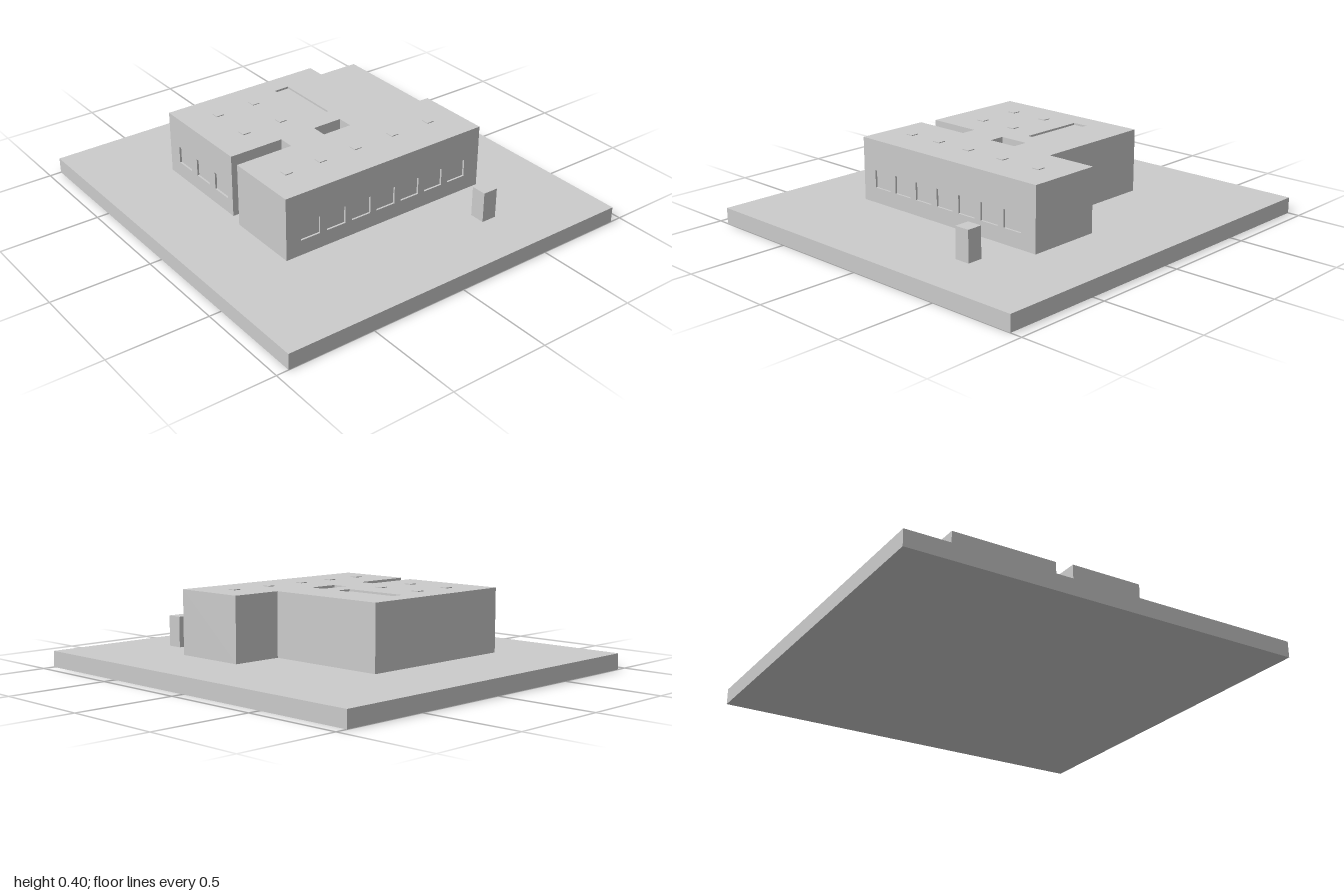
import * as THREE from 'three';

const material = new THREE.MeshStandardMaterial({ color: 0xcccccc });
const GROUND = 0.08, ROOF = 0.397, DEPTH = 0.01; // DEPTH: window and skylight recess

const shapeOf = (pts) => new THREE.Shape(pts.map(([x, y]) => new THREE.Vector2(x, y)));
const rect = (x0, y0, x1, y1) => [[x0, y0], [x1, y0], [x1, y1], [x0, y1]];

function extrude(outline, holes, depth) {
  const shape = shapeOf(outline);
  shape.holes = holes.map((h) => shapeOf(h));
  return new THREE.ExtrudeGeometry(shape, { depth, bevelEnabled: false });
}

export function createModel() {
  const group = new THREE.Group();
  const add = (name, geometry) => {
    const mesh = new THREE.Mesh(geometry, material);
    mesh.name = name;
    group.add(mesh);
    return mesh;
  };
  const box = (name, x0, x1, y0, y1, z0, z1) =>
    add(name, new THREE.BoxGeometry(x1 - x0, y1 - y0, z1 - z0))
      .position.set((x0 + x1) / 2, (y0 + y1) / 2, (z0 + z1) / 2);

  // Floor plan in (x, z); the front and left-hand walls can be set back
  const plan = (inset) => [
    [-0.56, 0.45 - inset], [0.57, 0.45 - inset], [0.57, 0.07], [0.31, 0.07],
    [0.31, -0.56], [-0.54 + inset, -0.56], [-0.54 + inset, -0.01],
    [-0.26, -0.01], [-0.26, 0.07], [-0.56, 0.07],
  ];
  const courtyard = rect(-0.07, -0.01, 0.085, 0.07);
  const skylight = rect(0.01, -0.45, 0.09, -0.11);

  // Plan y becomes z, extrusion runs downwards from the top
  const storey = (name, outline, holes, top, bottom) => {
    const mesh = add(name, extrude(outline, holes, top - bottom).rotateX(Math.PI / 2));
    mesh.position.y = top;
  };

  // Ground slab
  box('groundSlab', -0.94, 0.94, 0, GROUND, -1, 1);

  // Building core and roof slab with its sunken skylight
  storey('buildingCore', plan(DEPTH), [courtyard], ROOF - DEPTH, GROUND);
  storey('roofSlab', plan(0), [courtyard, skylight], ROOF, ROOF - DEPTH);

  // Front facade with seven windows
  const wallTop = ROOF - DEPTH, sill = 0.157, lintel = 0.245;
  const frontWindows = Array.from({ length: 7 }, (_, i) => {
    const x = -0.48 + i * 0.143;
    return rect(x, sill, x + 0.105, lintel);
  });
  add('frontFacade', extrude(rect(-0.56, GROUND, 0.57, wallTop), frontWindows, DEPTH))
    .position.z = 0.45 - DEPTH;

  // Side facade of the rear wing with three windows
  const sideWindows = [-0.48, -0.32, -0.16].map((z) => rect(z, sill, z + 0.11, lintel));
  const side = add('sideFacade', extrude(rect(-0.56, GROUND, -0.01, wallTop), sideWindows, DEPTH));
  side.rotation.y = -Math.PI / 2;
  side.position.x = -0.54 + DEPTH;

  // Low roof vents
  const vents = [
    ...[-0.42, -0.23, -0.03, 0.19, 0.41].map((x) => [x, 0.26]),
    ...[-0.36, -0.15].flatMap((x) => [[x, -0.4], [x, -0.17]]),
  ];
  for (const [x, z] of vents) {
    box('roofVent', x - 0.02, x + 0.02, ROOF - 0.002, ROOF + 0.004, z - 0.02, z + 0.02);
  }

  // Free-standing post in front of the building
  box('frontPost', 0.358, 0.436, GROUND, 0.233, 0.65, 0.728);

  return group;
}
